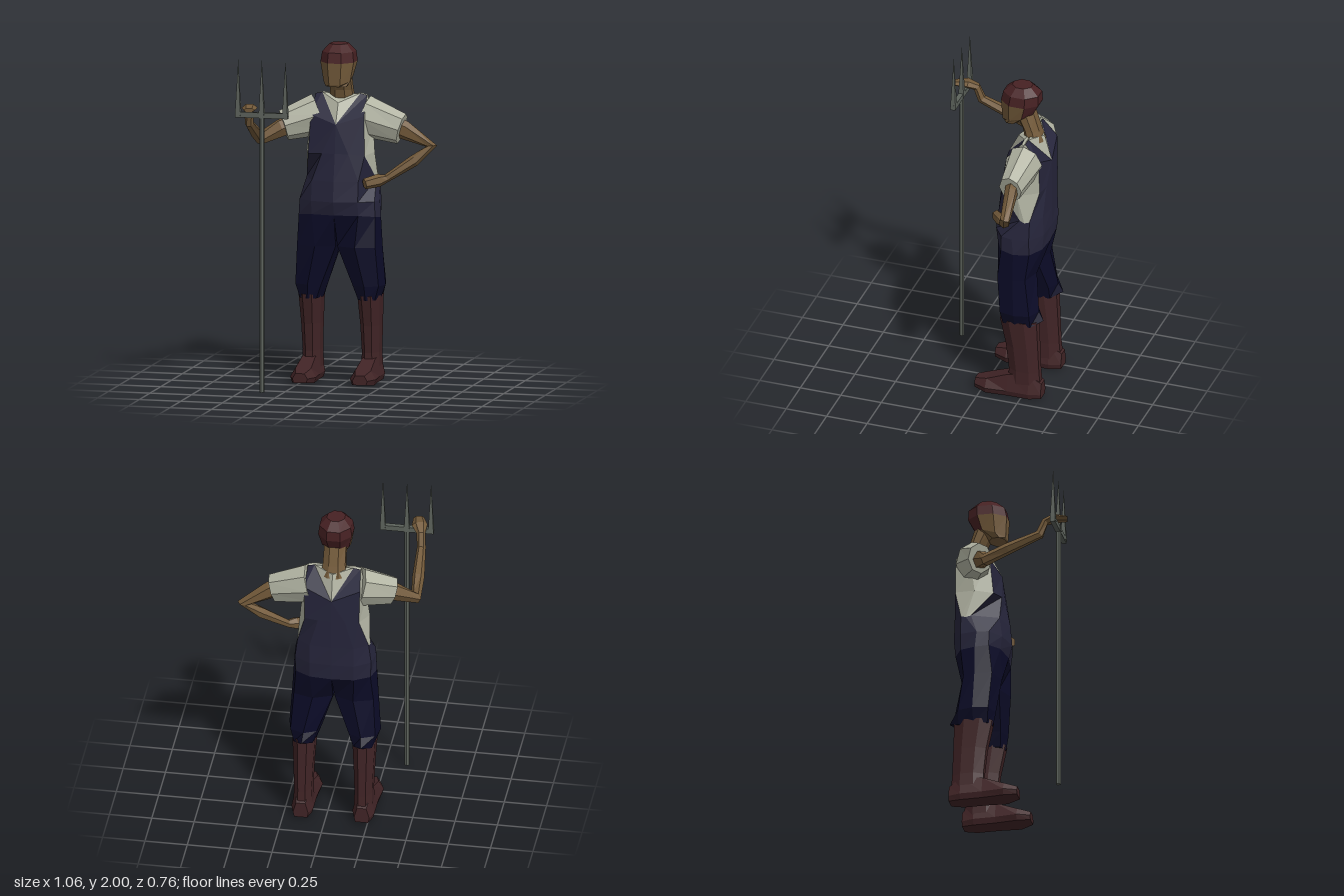
import * as THREE from 'three';

const mat = (name, color) => Object.assign(new THREE.MeshStandardMaterial({ color }), { name });
const M = {
  shirt: mat('shirtCloth', 0xb2b4a3),
  bib: mat('overallCloth', 0x26253b),
  trousers: mat('trouserCloth', 0x0b0b27),
  skin: mat('skin', 0x735a3a),
  hair: mat('hair', 0x472123),
  boot: mat('bootLeather', 0x412426),
  metal: mat('metal', 0x5c625b),
};

// Skin a stack of rings (counter-clockwise around the stacking direction) with flat facets.
// pick(row, column) gives the material of each cell; both ends are capped.
function loft(name, rings, pick) {
  const choose = typeof pick === 'function' ? pick : () => pick;
  const buckets = new Map();
  const tri = (m, ...pts) => {
    if (!buckets.has(m)) buckets.set(m, []);
    pts.forEach((p) => buckets.get(m).push(...p));
  };
  const n = rings[0].length, last = rings.length - 1;
  for (let j = 0; j < last; j++) {
    for (let i = 0; i < n; i++) {
      const k = (i + 1) % n, m = choose(j, i);
      const [a, b, c, d] = [rings[j][i], rings[j][k], rings[j + 1][k], rings[j + 1][i]];
      tri(m, a, b, c);
      tri(m, a, c, d);
    }
  }
  const mid = (r) => [0, 1, 2].map((c) => r.reduce((s, p) => s + p[c], 0) / n);
  for (let i = 0; i < n; i++) {
    const k = (i + 1) % n;
    tri(choose(0, 0), mid(rings[0]), rings[0][k], rings[0][i]);
    tri(choose(last - 1, 0), mid(rings[last]), rings[last][i], rings[last][k]);
  }
  const geo = new THREE.BufferGeometry(), all = [], mats = [];
  for (const [m, v] of buckets) {
    geo.addGroup(all.length / 3, v.length / 3, mats.length);
    for (const x of v) all.push(x);
    mats.push(m);
  }
  geo.setAttribute('position', new THREE.Float32BufferAttribute(all, 3));
  geo.computeVertexNormals();
  const mesh = new THREE.Mesh(geo, mats.length > 1 ? mats : mats[0]);
  mesh.name = name;
  return mesh;
}

const flip = (ring) => ring.map(([x, y, z]) => [-x, y, z]).reverse();

// Horizontal eight-sided ring; lift raises its back edge
function oval(x, y, z, rx, rz, lift = 0) {
  return Array.from({ length: 8 }, (_, i) => {
    const a = ((i + 0.5) * Math.PI) / 4, c = Math.cos(a) * 1.08, s = Math.sin(a) * 1.08;
    return [x + s * rx, y - c * lift, z + c * rz];
  });
}

// Faceted limb along joints [x, y, z, radiusU, radiusV]
function limb(name, joints, ref, sides, material) {
  const P = joints.map((j) => new THREE.Vector3(j[0], j[1], j[2]));
  const dir = (i) => P[i + 1].clone().sub(P[i]).normalize();
  const rings = joints.map(([, , , ru, rv = ru], i) => {
    const t = new THREE.Vector3();
    if (i > 0) t.add(dir(i - 1));
    if (i < P.length - 1) t.add(dir(i));
    t.normalize();
    const u = ref.clone().cross(t).normalize(), v = t.clone().cross(u);
    return Array.from({ length: sides }, (_, k) => {
      const a = (k / sides) * Math.PI * 2;
      return P[i].clone().addScaledVector(u, Math.cos(a) * ru).addScaledVector(v, Math.sin(a) * rv).toArray();
    });
  });
  return loft(name, rings, material);
}

// Half torso rings, front centre round the left side to back centre, bottom to top
const waist = [[0, 1, -.06], [.14, 1, -.08], [.23, .99, -.13], [.245, .98, -.21], [.22, .98, -.3], [.13, .98, -.35], [0, .98, -.36]];
const torso = [
  waist,
  [[0, 1.08, -.04], [.14, 1.08, -.07], [.225, 1.08, -.13], [.24, 1.08, -.2], [.225, 1.08, -.3], [.13, 1.08, -.36], [0, 1.08, -.365]],
  [[0, 1.2, -.05], [.14, 1.2, -.085], [.21, 1.2, -.24], [.215, 1.19, -.27], [.21, 1.2, -.3], [.13, 1.2, -.355], [0, 1.2, -.365]],
  [[0, 1.36, -.08], [.08, 1.36, -.085], [.17, 1.35, -.115], [.205, 1.36, -.22], [.16, 1.38, -.345], [.08, 1.38, -.36], [0, 1.38, -.365]],
  [[0, 1.53, -.1], [0, 1.53, -.1], [.16, 1.58, -.14], [.19, 1.5, -.24], [.165, 1.59, -.34], [0, 1.52, -.365], [0, 1.52, -.365]],
  [[0, 1.65, -.16], [.115, 1.7, -.235], [.155, 1.69, -.235], [.16, 1.68, -.245], [.155, 1.69, -.255], [.115, 1.7, -.26], [0, 1.68, -.32]],
];

function buildTorso() {
  const rings = torso.map((h) => [...h, ...flip(h).slice(1, 6)]);
  return loft('torso', rings, (row, col) => {
    const c = col < 6 ? col : 11 - col;
    const side = c === 2 || c === 3, neckline = c === 0 || c === 5;
    return (row >= 2 && side) || (row === 4 && neckline) ? M.shirt : M.bib;
  });
}

function buildLeg(side) {
  const g = new THREE.Group();
  g.name = side > 0 ? 'leftLeg' : 'rightLeg';
  const put = (name, rings, m) => g.add(loft(name, side > 0 ? rings : rings.map(flip), m));
  // Trouser leg from hem to waist
  const at = (y, pts) => pts.map(([x, z]) => [x, y, z]);
  const hem = at(.495, [[.125, -.14], [.175, -.115], [.225, -.14], [.24, -.22], [.23, -.31], [.175, -.35], [.12, -.31], [.105, -.22]]);
  hem[5] = [.175, .525, -.375];
  put('trouserLeg', [
    hem,
    at(.58, [[.095, -.13], [.17, -.1], [.25, -.13], [.27, -.22], [.25, -.31], [.17, -.345], [.095, -.31], [.075, -.22]]),
    at(.81, [[.005, -.12], [.12, -.075], [.235, -.11], [.255, -.21], [.235, -.28], [.12, -.315], [.005, -.27], [0, -.2]]),
    [...waist, [0, .99, -.2]],
  ], M.trousers);
  // Boot shaft
  put('bootShaft', [
    oval(.178, .06, -.265, .056, .1), oval(.178, .18, -.262, .052, .093),
    oval(.178, .34, -.25, .058, .098), oval(.177, .52, -.228, .068, .113),
  ], M.boot);
  // Boot foot: sections [z, half width, sole y, top y] from heel to toe
  const foot = [[-.372, .045, .015, .11], [-.3, .066, .01, .16], [-.17, .066, .01, .145], [-.04, .078, .01, .095], [.036, .045, .02, .075]];
  put('bootFoot', foot.map(([z, w, y, h]) => [
    [-.85 * w, y], [.85 * w, y], [w, .045], [.6 * w, h], [-.6 * w, h], [-w, .045],
  ].map(([x, yy]) => [.18 + x, yy, z])), M.boot);
  return g;
}

function buildHead() {
  const g = new THREE.Group();
  g.name = 'headAndNeck';
  g.add(loft('neck', [oval(0, 1.65, -.265, .075, .055), oval(0, 1.72, -.245, .066, .05), oval(0, 1.83, -.2, .064, .06)], M.skin));
  // Face with hair over the crown and back
  g.add(loft('head', [
    oval(0, 1.755, -.125, .062, .048),
    oval(0, 1.795, -.165, .08, .093, .03),
    oval(0, 1.895, -.18, .1, .115),
    oval(0, 1.955, -.185, .092, .107),
    oval(0, 2, -.185, .052, .058),
  ], (row, col) => (row >= 2 || (row === 1 && col >= 2 && col <= 4) ? M.hair : M.skin)));
  return g;
}

function buildArms() {
  const g = new THREE.Group(), Y = new THREE.Vector3(0, 1, 0), Z = new THREE.Vector3(0, 0, 1);
  g.name = 'arms';
  // Sleeves
  g.add(limb('leftSleeve', [[.1, 1.565, -.25, .125, .105], [.325, 1.5, -.235, .093, .07]], Z, 8, M.shirt));
  g.add(limb('rightSleeve', [[-.18, 1.565, -.24, .125, .105], [-.367, 1.505, -.16, .09, .07]], Z, 8, M.shirt));
  // Left arm, hand on hip
  g.add(limb('leftArm', [
    [.28, 1.515, -.24, .06, .04], [.34, 1.49, -.245, .056, .038], [.497, 1.4, -.265, .034, .03],
    [.4, 1.315, -.225, .034, .034], [.25, 1.215, -.165, .024], [.21, 1.205, -.14, .038, .034], [.14, 1.19, -.085, .032, .028],
  ], Z, 6, M.skin));
  // Right arm, reaching forward to the fork
  g.add(limb('rightArm', [
    [-.32, 1.515, -.18, .045, .055], [-.38, 1.49, -.15, .045, .055], [-.495, 1.43, -.1, .036, .036],
    [-.488, 1.49, .03, .036, .034], [-.475, 1.57, .22, .026, .028], [-.468, 1.65, .25, .026, .024],
    [-.452, 1.675, .3, .046, .024], [-.435, 1.672, .378, .032, .014],
  ], Y, 6, M.skin));
  return g;
}

function buildFork() {
  const g = new THREE.Group();
  g.name = 'pitchfork';
  g.position.set(-.376, 0, .31);
  const add = (name, geo, x, y, turn = 0) => {
    const m = new THREE.Mesh(geo.toNonIndexed(), M.metal);
    m.geometry.computeVertexNormals();
    m.name = name;
    m.position.set(x, y, 0);
    m.rotation.y = turn;
    g.add(m);
  };
  add('handle', new THREE.CylinderGeometry(.015, .015, 1.63, 6), 0, .815);
  add('crossbar', new THREE.BoxGeometry(.316, .032, .028), 0, 1.635);
  for (const x of [-.142, 0, .142]) add('tine', new THREE.ConeGeometry(.023, .335, 4), x, 1.795, Math.PI / 4);
  return g;
}

export function createModel() {
  const model = new THREE.Group();
  model.name = 'farmer';
  const body = new THREE.Group();
  body.name = 'body';
  body.position.x = -.038;
  body.add(buildTorso(), buildLeg(1), buildLeg(-1), buildHead());
  model.add(body, buildArms(), buildFork());
  return model;
}
